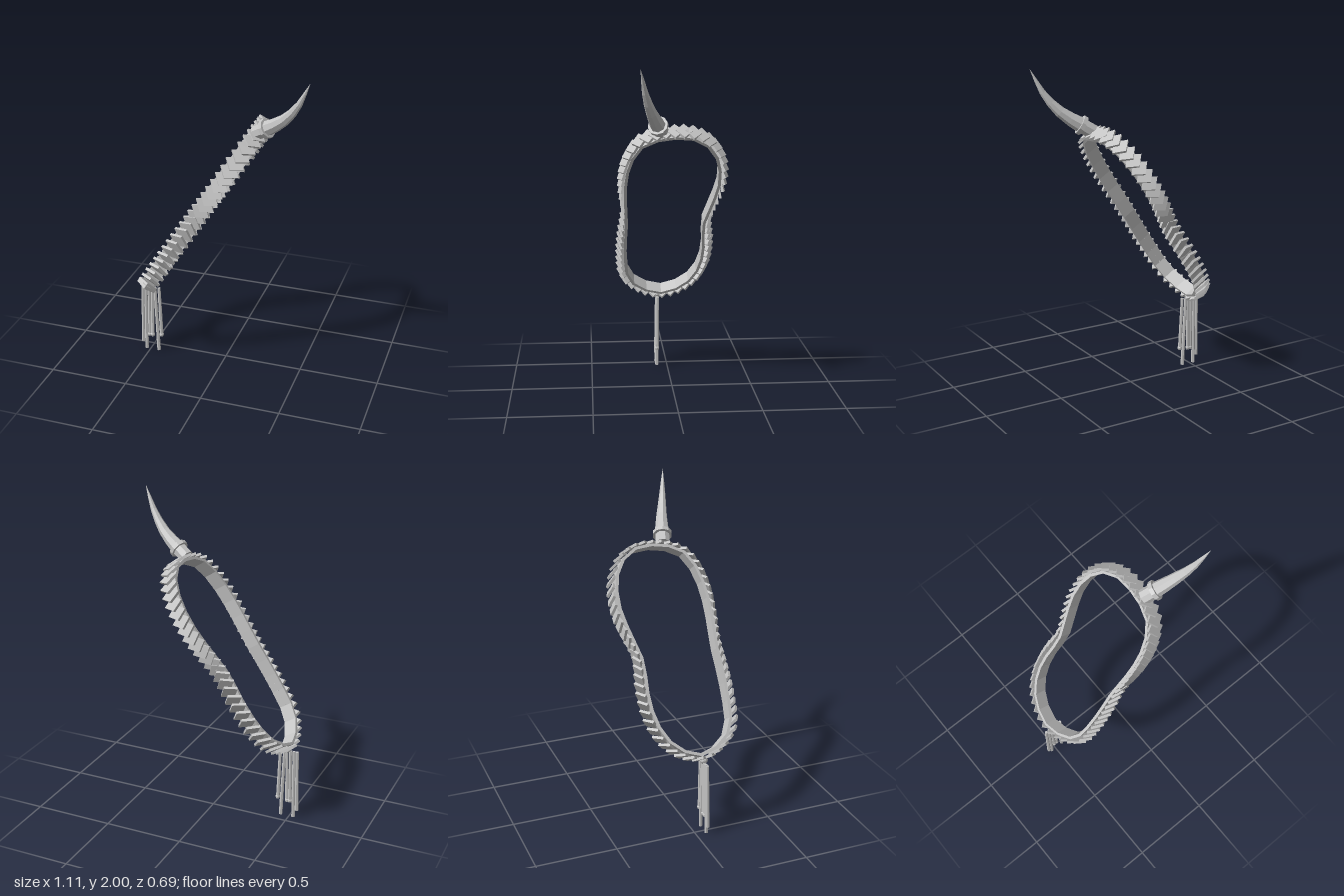
import * as THREE from 'three';

const V3 = (x, y, z) => new THREE.Vector3(x, y, z);

// Faceted tapering tube along a curve, pointed at the far end
function taperedTube(curve, segments, sides, radiusAt) {
  const geo = new THREE.TubeGeometry(curve, segments, 1, sides, false);
  const p = geo.attributes.position;
  for (let i = 0; i <= segments; i++) {
    const c = curve.getPointAt(i / segments);
    for (let j = 0; j <= sides; j++) {
      const k = i * (sides + 1) + j;
      const v = V3().fromBufferAttribute(p, k).sub(c).multiplyScalar(radiusAt(i / segments)).add(c);
      p.setXYZ(k, v.x, v.y, v.z);
    }
  }
  const flat = geo.toNonIndexed();
  flat.computeVertexNormals();
  return flat;
}

export function createModel() {
  const model = new THREE.Group();
  model.name = 'scaledBracelet';
  const gray = new THREE.MeshStandardMaterial({ color: 0xc4c4c4, flatShading: true, side: THREE.DoubleSide });
  gray.name = 'gray';
  const add = (parent, geo, name) => {
    const m = new THREE.Mesh(geo, gray);
    m.name = name;
    parent.add(m);
    return m;
  };

  // Tilted plane of the loop: local x is world -z, local y climbs the slope
  const loop = new THREE.Group();
  loop.name = 'scaledLoop';
  const slope = V3(0.539, 0.842, 0);
  const lateral = V3(0.842, -0.539, 0);
  loop.quaternion.setFromRotationMatrix(new THREE.Matrix4().makeBasis(V3(0, 0, -1), slope, lateral));
  loop.position.set(-0.134, 1.06, 0);
  model.add(loop);

  // Loop centreline as [z, height], from the top down the back and up the front
  const path = [
    [0.10, 1.595], [0.0, 1.61], [-0.1, 1.605], [-0.2, 1.555], [-0.27, 1.45], [-0.285, 1.3], [-0.25, 1.16],
    [-0.21, 1.02], [-0.22, 0.86], [-0.205, 0.72], [-0.15, 0.61], [-0.06, 0.54], [0.05, 0.51],
    [0.16, 0.545], [0.25, 0.62], [0.275, 0.74], [0.28, 0.9], [0.275, 1.05], [0.285, 1.2], [0.28, 1.36],
    [0.245, 1.48], [0.185, 1.56],
  ].map(([z, y]) => V3(-z, (y - 1.06) / 0.842, 0));
  const curve = new THREE.CatmullRomCurve3(path, true, 'centripetal');
  const outward = (t) => {
    const d = curve.getTangentAt(t);
    return V3(-d.y, d.x, 0);
  };

  // Flat band on the inside, with its hole wound against the outline
  const outline = (offset) => Array.from({ length: 30 }, (_, i) => {
    const q = curve.getPointAt(i / 30).addScaledVector(outward(i / 30), offset);
    return new THREE.Vector2(q.x, q.y);
  });
  const shape = new THREE.Shape(outline(0.008).reverse());
  shape.holes.push(new THREE.Path(outline(-0.01)));
  const band = new THREE.ExtrudeGeometry(shape, { depth: 0.085, bevelEnabled: false });
  add(loop, band.translate(0, 0, -0.0425), 'band');

  // Overlapping diamond scales, turned to face away from the middle of the loop
  const scaleGeo = new THREE.BoxGeometry(0.09, 0.016, 0.09).rotateY(Math.PI / 4).scale(0.8, 1, 1);
  const count = 62;
  for (let i = 0; i < count; i++) {
    const t = i / count;
    const d = curve.getTangentAt(t);
    const out = outward(t);
    const p = curve.getPointAt(t);
    const radial = p.clone().sub(V3(0, 0.1, 0));
    const tilt = 0.72 * Math.atan2(out.x * radial.y - out.y * radial.x, out.dot(radial));
    const scale = add(loop, scaleGeo, 'scale');
    scale.position.copy(p).addScaledVector(out, 0.016 + 0.015 * Math.abs(Math.sin(tilt)));
    scale.rotation.z = Math.atan2(d.y, d.x) + tilt;
  }

  // Horn with its collar
  const horn = new THREE.Group();
  horn.name = 'horn';
  model.add(horn);
  const hornCurve = new THREE.CatmullRomCurve3([
    V3(0.275, 1.66, 0.1), V3(0.385, 1.735, 0.14), V3(0.475, 1.84, 0.18), V3(0.555, 2.0, 0.215),
  ]);
  add(horn, taperedTube(hornCurve, 6, 8, (t) => 0.047 * Math.pow(1 - t, 0.85) + 0.0005), 'hornBlade');
  const axis = V3(0.8, 0.5, 0.28).normalize();
  const collar = (geo, name, x, y, z) => {
    const m = add(horn, geo, name);
    m.position.set(x, y, z);
    m.quaternion.setFromUnitVectors(V3(0, 1, 0), axis);
  };
  collar(new THREE.CylinderGeometry(0.046, 0.046, 0.08, 8), 'hornSocket', 0.245, 1.64, 0.09);
  collar(new THREE.CylinderGeometry(0.06, 0.06, 0.025, 10), 'hornCollar', 0.278, 1.662, 0.101);

  // Knot and hanging tassel strands: [top x, bottom x, bottom height]
  const tassel = new THREE.Group();
  tassel.name = 'tassel';
  model.add(tassel);
  const knot = add(tassel, new THREE.IcosahedronGeometry(0.025, 1), 'knot');
  knot.position.set(-0.48, 0.475, 0.065);
  const strands = [
    [-0.543, -0.549, 0.05], [-0.522, -0.527, 0], [-0.5, -0.502, 0.1],
    [-0.475, -0.483, 0.1], [-0.46, -0.442, 0], [-0.432, -0.42, 0.11],
  ];
  for (const [top, bottom, low] of strands) {
    const a = V3(top, 0.465, 0.062);
    const b = V3(bottom, low, 0.067);
    const strand = add(tassel, new THREE.CylinderGeometry(0.01, 0.012, a.distanceTo(b), 6), 'strand');
    strand.position.copy(a).add(b).multiplyScalar(0.5);
    strand.quaternion.setFromUnitVectors(V3(0, 1, 0), a.clone().sub(b).normalize());
    if (low >= 0.1) {
      const bead = add(tassel, new THREE.IcosahedronGeometry(0.015, 1), 'bead');
      bead.position.copy(b).setY(low + 0.012);
    }
  }
  return model;
}
